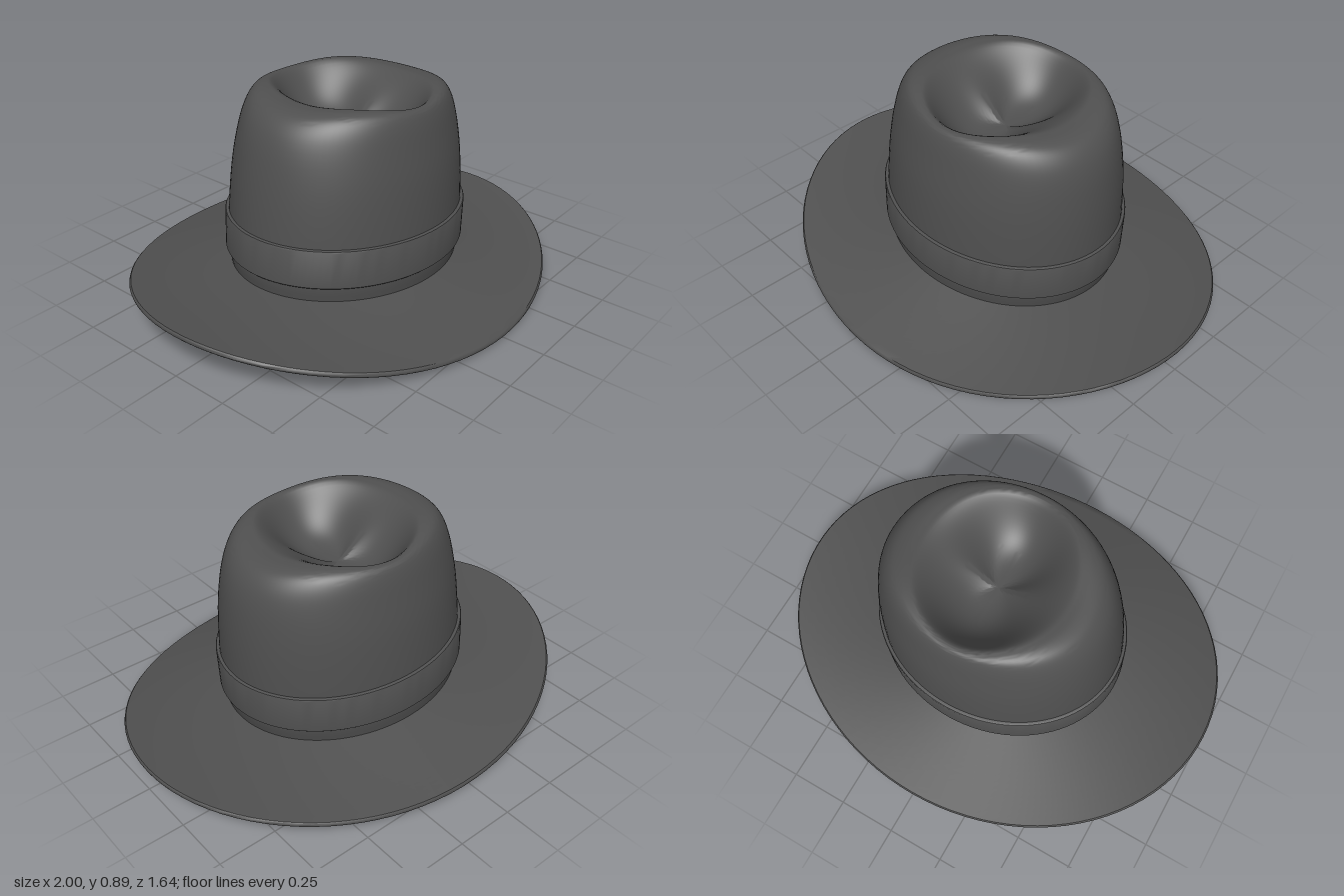
import * as THREE from 'three';
import { toCreasedNormals } from 'three/addons/utils/BufferGeometryUtils.js';

const SEGMENTS = 96;

// Surface through closed rings; at(i, c, s) gives the point of ring i at cos c, sin s
function ringSurface(rings, at, flip = false, crease = 0.7) {
  const pos = [], idx = [];
  for (let i = 0; i < rings; i++) {
    for (let j = 0; j < SEGMENTS; j++) {
      const t = (j / SEGMENTS) * Math.PI * 2;
      pos.push(...at(i, Math.cos(t), Math.sin(t)));
      if (i === rings - 1) continue;
      const k = (j + 1) % SEGMENTS;
      const a = i * SEGMENTS + j, b = i * SEGMENTS + k, c = a + SEGMENTS, d = b + SEGMENTS;
      if (flip) idx.push(a, b, c, b, d, c);
      else idx.push(a, c, b, b, c, d);
    }
  }
  const geo = new THREE.BufferGeometry();
  geo.setAttribute('position', new THREE.Float32BufferAttribute(pos, 3));
  geo.setIndex(idx);
  return toCreasedNormals(geo, crease);
}

// Crown wall: x radius, height, z radius
const wall = new THREE.CatmullRomCurve3([
  [0.537, -0.005, 0.452], [0.548, 0.06, 0.46], [0.546, 0.23, 0.458], [0.527, 0.45, 0.44],
  [0.497, 0.6, 0.413], [0.465, 0.67, 0.397], [0.425, 0.71, 0.383], [0.375, 0.727, 0.37], [0.32, 0.73, 0.35],
].map(p => new THREE.Vector3(...p)));
const WALL = 40, BOWL = 28, DEPTH = 0.19;

// Wall rings up to the crest, then a pinched bowl with a crease running front to back
function crownPoint(i, c, s) {
  const top = 0.722 + 0.008 * c * c + 0.014 * (2 * s * c) ** 2;
  if (i <= WALL) {
    const p = wall.getPoint(i / WALL);
    return [p.x * c, p.y * top / 0.73, p.z * s];
  }
  const p = 1 - (i - WALL) / BOWL;
  const power = 1.4 + 2.6 * s * s;
  const height = 0.73 + (top - 0.73) * p * p;
  return [0.32 * p * c, height - DEPTH * (1 - p ** power) ** 1.5, 0.35 * p * s];
}

// Brim: flat at the crown, dropping at front and back, curling up at the sides
function brimPoint(u, drop, c, s) {
  const side = -0.03 * u + 0.045 * u * u;
  const end = (s > 0 ? -0.115 : -0.08) * u;
  const x = 0.53 + 0.47 * u, z = 0.445 + 0.377 * u;
  return [x * c, side * c * c + end * s * s - drop, z * s];
}

export function createModel() {
  const felt = new THREE.MeshStandardMaterial({ color: 0x505050, side: THREE.DoubleSide });
  felt.name = 'charcoal felt';
  const hat = new THREE.Group();
  hat.name = 'hat';
  const add = (name, geo) => {
    const mesh = new THREE.Mesh(geo, felt);
    mesh.name = name;
    hat.add(mesh);
  };

  // Crown and its inner shell
  const rings = WALL + BOWL + 1;
  add('crown', ringSurface(rings, crownPoint, false, 0.8));
  add('crownLining', ringSurface(rings, (i, c, s) => {
    const [x, y, z] = crownPoint(i, c, s);
    return [x * 0.965, y - 0.015, z * 0.965];
  }, true, 0.8));

  // Brim section: underside out, rounded edge, top back in, closed at the opening
  const section = [];
  const steps = 14;
  for (let i = 0; i <= steps; i++) section.push([0.985 * i / steps, 0.022]);
  section.push([0.996, 0.017], [1, 0.011], [0.996, 0.005]);
  for (let i = steps; i >= 0; i--) section.push([0.985 * i / steps, 0]);
  section.push([0, 0.022]);
  add('brim', ringSurface(section.length, (i, c, s) => brimPoint(...section[i], c, s)));

  // Hat band: outward offset and height, with softened edges
  const band = [[-0.02, 0.065], [0.009, 0.065], [0.013, 0.069], [0.013, 0.222],
    [0.01, 0.229], [0.004, 0.231], [-0.02, 0.231]];
  add('band', ringSurface(band.length, (i, c, s) => {
    const [o, y] = band[i];
    return [(0.548 + o) * c, y, (0.461 + o) * s];
  }));

  // The hat sits tilted to one side
  hat.rotation.z = -0.045;
  hat.position.y = 0.14;
  const model = new THREE.Group();
  model.name = 'tiltedHat';
  model.add(hat);
  return model;
}
